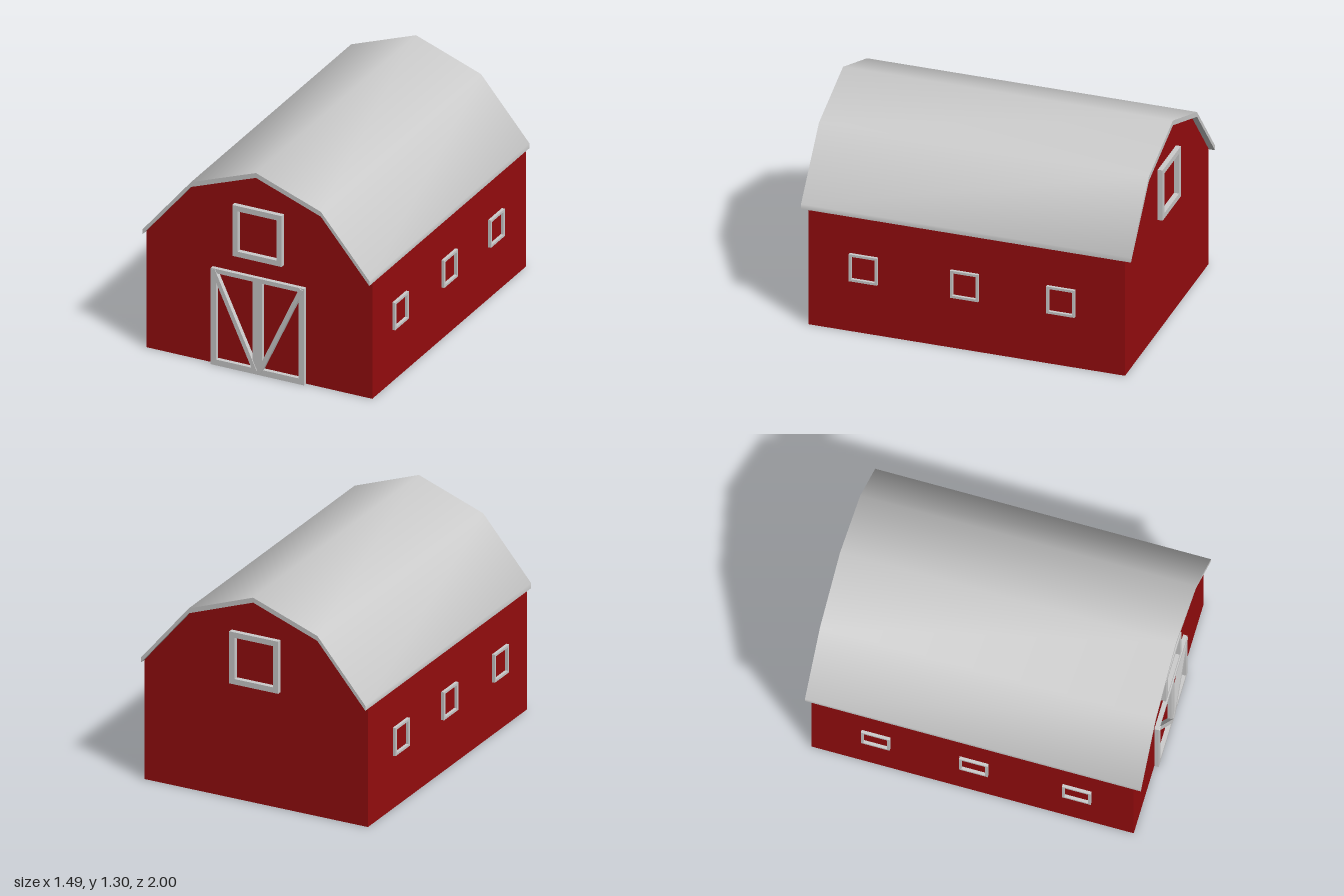
import * as THREE from 'three';
import { toCreasedNormals } from 'three/addons/utils/BufferGeometryUtils.js';

const RED = new THREE.MeshStandardMaterial({ color: 0x960c0e });
const GREY = new THREE.MeshStandardMaterial({ color: 0xcccccc });
const FRONT = 0.957, BACK = -0.963, WALL = 0.727;

// Gambrel line from the right eave over the ridge to the left eave
const eaves = [[-0.73, 0.74], [-0.418, 1.112], [0, 1.265], [0.418, 1.112], [0.73, 0.74]];

function mesh(name, geometry, material) {
  const m = new THREE.Mesh(geometry, material);
  m.name = name;
  return m;
}

function extrude(points, z0, z1) {
  const shape = new THREE.Shape(points.map(([x, y]) => new THREE.Vector2(x, y)));
  return new THREE.ExtrudeGeometry(shape, { depth: z1 - z0, bevelEnabled: false }).translate(0, 0, z0);
}

// Rectangular frame centred on the origin, standing on z = 0 and facing +z
function frame(name, w, h, bw, bh, depth) {
  const rect = (P, a, b) => new P([[-a, -b], [a, -b], [a, b], [-a, b]].map(([x, y]) => new THREE.Vector2(x, y)));
  const shape = rect(THREE.Shape, w / 2, h / 2);
  shape.holes.push(rect(THREE.Path, w / 2 - bw, h / 2 - bh));
  return mesh(name, new THREE.ExtrudeGeometry(shape, { depth, bevelEnabled: false }), GREY);
}

function bar(name, w, h, d, x, y, z) {
  const m = mesh(name, new THREE.BoxGeometry(w, h, d), GREY);
  m.position.set(x, y, z);
  return m;
}

export function createModel() {
  const barn = new THREE.Group();
  barn.name = 'barn';

  // Walls with gabled ends, closed at the bottom
  const outline = [[-WALL, 0], [WALL, 0], ...[...eaves].reverse().map(([x, y]) => [Math.sign(x) * Math.min(Math.abs(x), WALL), y + 0.003])];
  barn.add(mesh('walls', extrude(outline, BACK, FRONT), RED));

  // Roof shell, softly shaded across its folds
  const upper = eaves.map(([x, y]) => [x, y + 0.031]).reverse();
  barn.add(mesh('roof', toCreasedNormals(extrude([...eaves, ...upper], -1, 1), 0.8), GREY));

  // Loft windows on both gables
  for (const side of [1, -1]) {
    const loft = frame(side > 0 ? 'frontLoftWindow' : 'backLoftWindow', 0.318, 0.325, 0.034, 0.034, 0.03);
    loft.position.set(0, 0.888, side > 0 ? FRONT : BACK);
    if (side < 0) loft.rotation.y = Math.PI;
    barn.add(loft);
  }

  // Three small windows along each side
  for (const side of [1, -1]) {
    for (const z of [0.62, 0.007, -0.577]) {
      const win = frame(side > 0 ? 'leftWindow' : 'rightWindow', 0.172, 0.175, 0.015, 0.015, 0.018);
      win.position.set(side * WALL, 0.418, z);
      win.rotation.y = side * Math.PI / 2;
      barn.add(win);
    }
  }

  // Double door: rails, stiles and diagonal braces
  const door = new THREE.Group();
  door.name = 'door';
  const z = FRONT + 0.013;
  door.add(bar('topRail', 0.6, 0.027, 0.026, 0, 0.6015, z));
  door.add(bar('bottomRail', 0.6, 0.037, 0.026, 0, 0.0185, z));
  door.add(bar('centreStile', 0.06, 0.551, 0.026, 0, 0.3125, z));
  for (const s of [1, -1]) {
    door.add(bar('outerStile', 0.035, 0.551, 0.026, s * 0.2825, 0.3125, z));
    const dx = 0.272, dy = 0.59;
    const brace = bar('brace', 0.026, Math.hypot(dx, dy), 0.03, s * 0.148, 0.313, z + 0.003);
    brace.rotation.z = -s * Math.atan2(dx, dy);
    door.add(brace);
  }
  barn.add(door);
  return barn;
}
